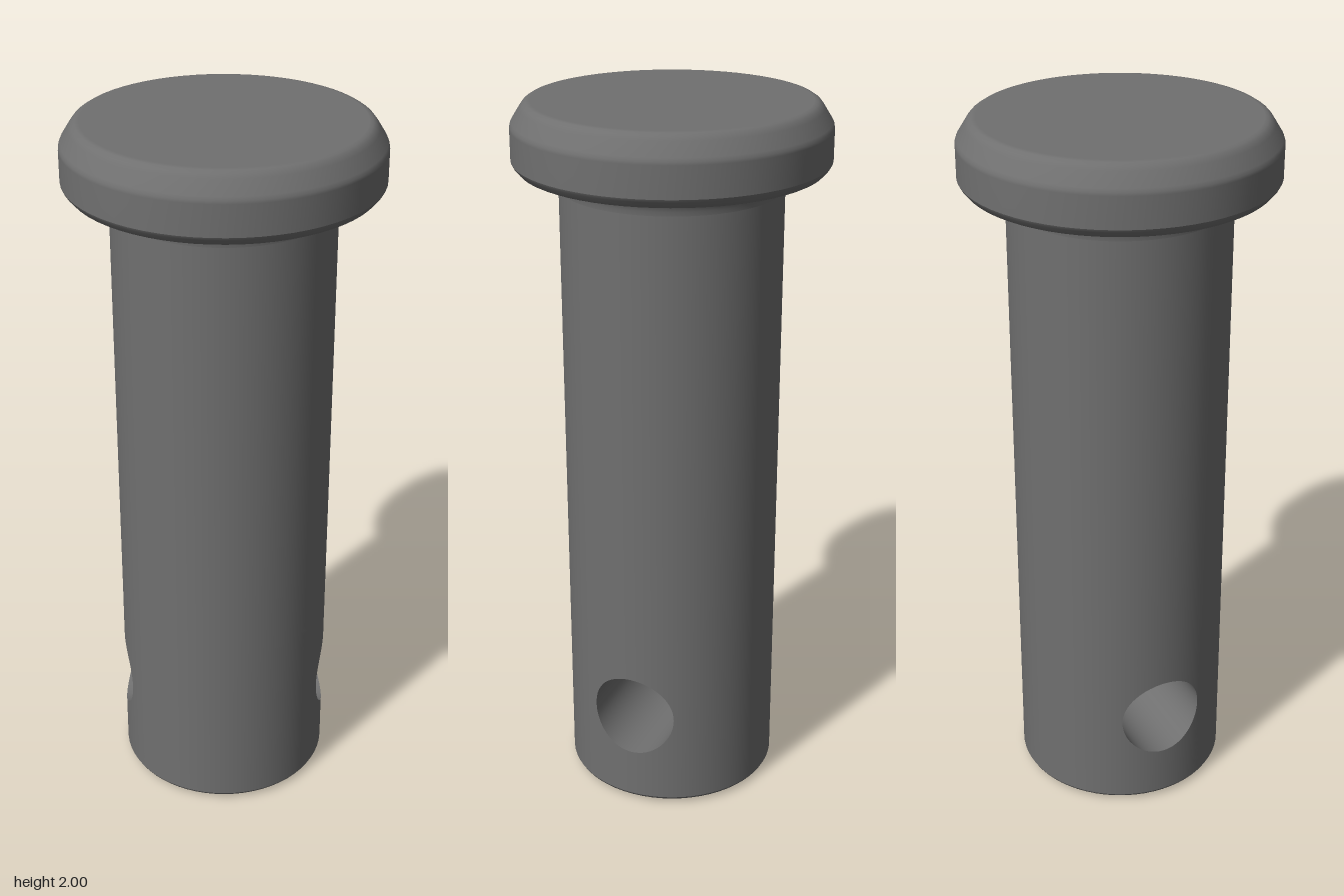
import * as THREE from 'three';
import { ParametricGeometry } from 'three/addons/geometries/ParametricGeometry.js';

const R = 0.3;         // shank radius
const HOLE_R = 0.122;  // cross hole radius
const HOLE_Y = 0.285;  // cross hole height
const BAND = 0.265;    // half height of the drilled band
const SEG = 64;

export function createModel() {
  const group = new THREE.Group();
  const steel = new THREE.MeshStandardMaterial({ color: 0x707070 });
  steel.name = 'darkSteel';

  const add = (name, geometry, rotY = 0) => {
    const mesh = new THREE.Mesh(geometry, steel);
    mesh.name = name;
    mesh.rotation.y = rotY;
    group.add(mesh);
  };
  const lathe = (points, seg = SEG, start = 0, length = Math.PI * 2) =>
    new THREE.LatheGeometry(points.map(([r, y]) => new THREE.Vector2(r, y)), seg, start, length);

  const low = HOLE_Y - BAND, high = HOLE_Y + BAND;

  // Bottom end with a small chamfer
  add('shankEnd', lathe([[0, 0], [0.272, 0], [0.279, 0.001], [0.284, 0.004], [0.296, 0.013], [R, low]]));

  // Plain shank above the cross hole
  add('shank', lathe([[R, high], [R, 1.77]]));

  // Concave fillet running up under the head
  const fillet = [];
  for (let i = 0; i <= 6; i++) {
    const a = (i / 6) * Math.PI * 0.42;
    fillet.push([R + 0.03 * (1 - Math.cos(a)) / (1 - Math.cos(Math.PI * 0.42)),
      1.77 + 0.05 * Math.sin(a) / Math.sin(Math.PI * 0.42)]);
  }
  add('filletUnderHead', lathe(fillet));

  // Head: flat underside, chamfered rim, softly bevelled top
  add('headUnderside', lathe([[0.33, 1.82], [0.4, 1.82]]));
  add('headLowerChamfer', lathe([[0.4, 1.82], [0.406, 1.823], [0.419, 1.838], [0.423, 1.846]]));
  add('head', lathe([[0.423, 1.846], [0.423, 1.93], [0.422, 1.938], [0.418, 1.947],
    [0.396, 1.982], [0.388, 1.992], [0.379, 1.998], [0.368, 2], [0, 2]]));

  // Drilled band: plain quarters at front and back
  const side = [[R, low], [R, high]];
  add('bandFront', lathe(side, SEG / 4, -Math.PI / 4, Math.PI / 2));
  add('bandBack', lathe(side, SEG / 4, Math.PI * 0.75, Math.PI / 2));

  // Pierced quarters: blend from the round hole edge to a square outline on the cylinder
  const square = (s) => THREE.MathUtils.clamp(Math.asin(s) * 4 / Math.PI, -1, 1);
  const pierced = (u, v, target) => {
    const t = u * Math.PI * 2, c = Math.cos(t), s = Math.sin(t);
    const angle = THREE.MathUtils.lerp(Math.asin(HOLE_R * c / R), square(c) * Math.PI / 4, v);
    const y = THREE.MathUtils.lerp(HOLE_R * s, square(s) * BAND, v);
    target.set(R * Math.cos(angle), HOLE_Y + y, R * Math.sin(angle));
  };
  add('bandLeft', new ParametricGeometry(pierced, SEG, 8));
  add('bandRight', new ParametricGeometry(pierced, SEG, 8), Math.PI);

  // Inner wall of the cross hole
  add('crossHole', new ParametricGeometry((u, v, target) => {
    const t = u * Math.PI * 2, z = HOLE_R * Math.cos(t);
    target.set((v * 2 - 1) * Math.sqrt(R * R - z * z), HOLE_Y + HOLE_R * Math.sin(t), z);
  }, SEG, 4));

  return group;
}
